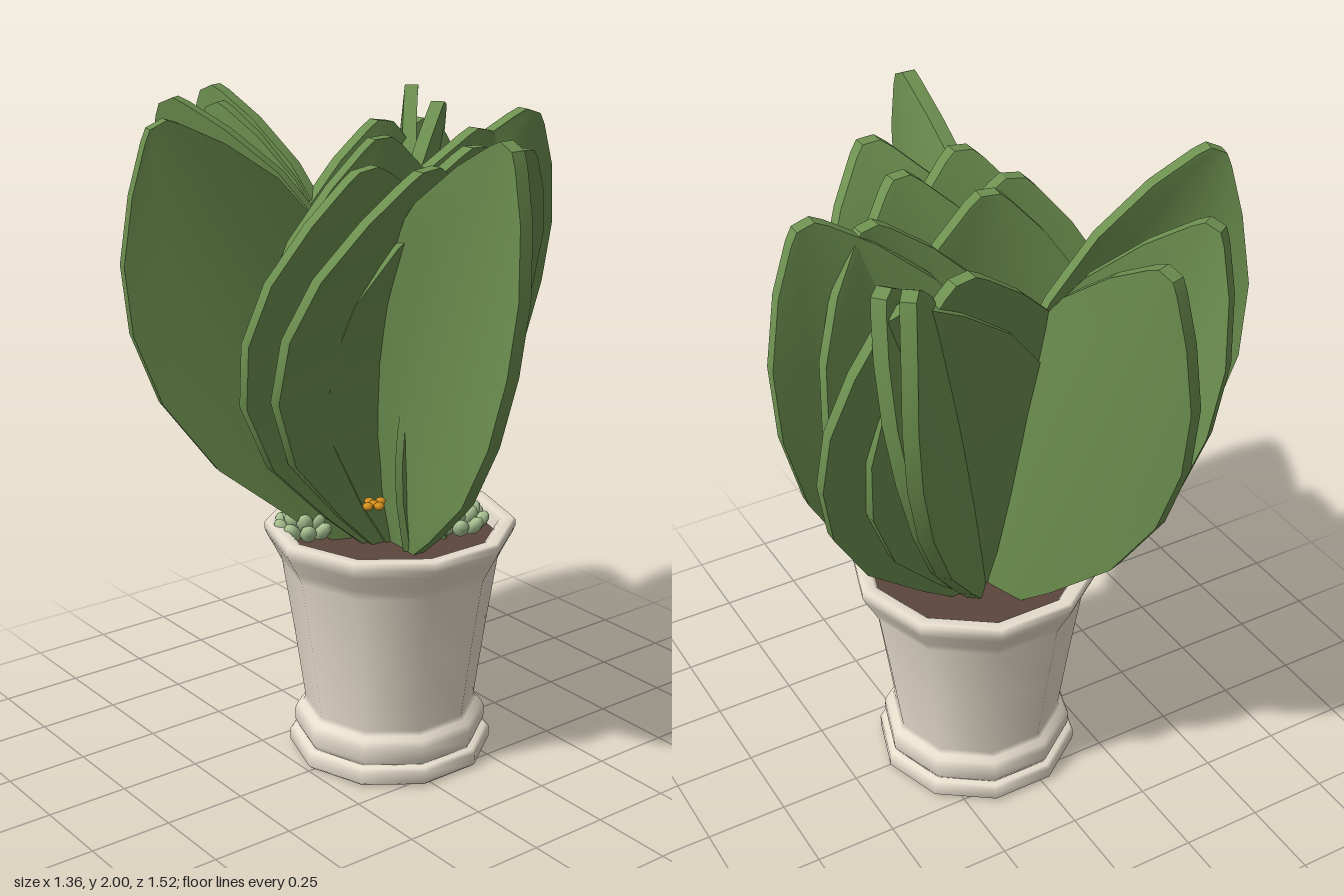
import * as THREE from 'three';

const mat = (name, color) => {
  const m = new THREE.MeshStandardMaterial({ color });
  m.name = name;
  return m;
};

// relative half width of a leaf along its length: [t, width]
const OUTLINE = [[0, 0.15], [0.12, 0.46], [0.3, 0.85], [0.48, 1], [0.64, 0.95],
  [0.78, 0.76], [0.9, 0.45], [0.98, 0.17], [1, 0.08]];
const COLS = [-1, -0.5, 0, 0.5, 1];

// Thick cupped leaf: u is the horizontal direction of its width, it bows along the normal n
function leafGeometry({ base, tip, u, hw, cup = 0.06, pow = 1.7, thick = 0.042 }) {
  const U = new THREE.Vector3(u[0], 0, u[1]).normalize();
  const N = new THREE.Vector3(-U.z, 0, U.x);
  const B = new THREE.Vector3(...base);
  const d = new THREE.Vector3(...tip).sub(B);
  const du = d.dot(U), dn = d.dot(N), len = Math.hypot(du, d.y);
  const bow = -Math.sign(dn) * cup;
  const point = (row, s, side) => {
    const [t, r] = OUTLINE[row];
    const w = s * r * hw;
    return B.clone()
      .addScaledVector(U, du * t + w * d.y / len)
      .addScaledVector(N, dn * t ** pow + bow * (s * r) ** 2 + side * thick / 2)
      .setY(B.y + d.y * t - w * du / len);
  };
  const pos = [], idx = [];
  const sheet = (lines) => {
    const start = pos.length / 3, n = lines[0].length;
    lines.forEach((l) => l.forEach((p) => pos.push(p.x, p.y, p.z)));
    for (let i = 0; i < lines.length - 1; i++) for (let j = 0; j < n - 1; j++) {
      const a = start + i * n + j, b = a + 1, c = a + n, e = c + 1;
      idx.push(a, b, e, a, e, c);
    }
  };
  const rows = OUTLINE.map((_, i) => i);
  const last = rows.length - 1;
  sheet(rows.map((i) => COLS.map((s) => point(i, s, 1))));
  sheet(rows.map((i) => [...COLS].reverse().map((s) => point(i, s, -1))));
  // rim: right edge, left edge, blunt tip
  sheet(rows.map((i) => [point(i, 1, 1), point(i, 1, -1)]));
  sheet(rows.map((i) => [point(i, -1, -1), point(i, -1, 1)]));
  sheet([COLS.map((s) => point(last, s, 1)), COLS.map((s) => point(last, s, -1))]);
  const g = new THREE.BufferGeometry();
  g.setAttribute('position', new THREE.Float32BufferAttribute(pos, 3));
  g.setIndex(idx);
  g.computeVertexNormals();
  return g;
}

export function createModel() {
  const root = new THREE.Group();
  root.name = 'pottedPlant';
  const leafMat = mat('leaf green', 0x6d9050);
  const potMat = mat('cream clay', 0xe8dfce);
  const soilMat = mat('brown soil', 0x5c463c);
  const paleMat = mat('pale green', 0xa6c090);
  const goldMat = mat('golden orange', 0xd8921e);
  const add = (parent, name, geo, material, x = 0, y = 0, z = 0) => {
    const m = new THREE.Mesh(geo, material);
    m.name = name;
    m.position.set(x, y, z);
    parent.add(m);
    return m;
  };

  // ten-sided pot with foot, bead and flared lip
  const profile = [[0, 0], [0.3, 0], [0.302, 0.001], [0.312, 0.01], [0.312, 0.045], [0.302, 0.055],
    [0.285, 0.057], [0.284, 0.06], [0.294, 0.075], [0.296, 0.115], [0.287, 0.135], [0.27, 0.146],
    [0.262, 0.16], [0.295, 0.4], [0.328, 0.615], [0.345, 0.65], [0.372, 0.7], [0.38, 0.72],
    [0.38, 0.738], [0.373, 0.747], [0.34, 0.747], [0.328, 0.738], [0.318, 0.67]]
    .map(([r, y]) => new THREE.Vector2(r, y));
  add(root, 'pot', new THREE.LatheGeometry(profile, 10, Math.PI / 2), potMat, 0.07, 0, -0.01);
  const soil = add(root, 'soil', new THREE.CircleGeometry(0.325, 10), soilMat, 0.07, 0.7, -0.01);
  soil.rotation.x = -Math.PI / 2;

  const leaves = new THREE.Group();
  leaves.name = 'leaves';
  root.add(leaves);

  // fan of leaves arching to the front: tip, width direction (x, z), half width, cup
  [
    [[0.14, 1.92, 0.46], [1, 0], 0.345, 0.03],
    [[-0.1, 1.88, 0.36], [1, 0.02], 0.37, 0.03],
    [[0.15, 1.9, 0.26], [1, -0.03], 0.33, 0.05],
    [[-0.16, 1.86, 0.17], [1, 0.08], 0.39, 0.04],
    [[0, 1.91, 0.03], [1, 0.12], 0.35, 0.07],
  ].forEach(([tip, u, hw, cup]) => {
    const base = [0.06 + tip[0] * 0.1, 0.68, -0.02 + tip[2] * 0.1];
    add(leaves, 'frontLeaf', leafGeometry({ base, tip, u, hw, cup, pow: 2.1 }), leafMat);
  });

  // leaves to the sides and back: the same, then bend power
  [
    // right and left sides
    [[0.36, 1.9, 0.04], [1, -0.02], 0.33, 0.1],
    [[0.53, 1.94, 0.06], [1, 0.06], 0.33, 0.1],
    [[-0.6, 1.98, -0.17], [-0.97, -0.24], 0.33, 0.09],
    // edge-on leaf at the front
    [[-0.1, 1.985, 0.69], [0, 1], 0.3, -0.06, 0.7],
    // back leaves
    [[0.5, 1.92, -0.32], [0.76, -0.65], 0.25, 0.03],
    [[0.48, 1.96, -0.43], [0.62, -0.78], 0.25, -0.04],
    [[0.47, 1.87, -0.34], [1, 0.02], 0.36, -0.01, 1],
    [[0.27, 1.89, -0.31], [1, -0.02], 0.36, -0.04, 0.8],
    [[-0.34, 1.98, -0.53], [-0.55, -0.83], 0.29, 0.05],
    [[-0.1, 1.98, -0.68], [-0.32, -0.95], 0.3, 0.025],
    [[-0.13, 1.94, -0.61], [-0.42, -0.9], 0.27, 0.02],
  ].forEach(([tip, u, hw, cup, pow]) => {
    const base = [0.06 + tip[0] * 0.1, 0.68, -0.03 + tip[2] * 0.16];
    add(leaves, 'leaf', leafGeometry({ base, tip, u, hw, cup, pow }), leafMat);
  });

  // young shoots at the front
  [
    [[0.03, 0.68, 0.13], [0.01, 1.34, 0.19], 0.07],
    [[0.09, 0.68, 0.12], [0.13, 1.38, 0.195], 0.07],
    [[0.17, 0.68, 0.12], [0.22, 1.07, 0.14], 0.035],
  ].forEach(([base, tip, hw]) => add(leaves, 'shoot',
    leafGeometry({ base, tip, u: [0.82, -0.57], hw, cup: 0.015, thick: 0.022 }), leafMat));

  // pale rosettes on the soil: domes of overlapping plump leaves
  const petal = new THREE.SphereGeometry(1, 8, 6);
  [[0.24, 0.715, 0.1], [-0.15, 0.715, -0.14]].forEach(([x, y, z]) => {
    const rosette = new THREE.Group();
    rosette.name = 'rosette';
    rosette.position.set(x, y, z);
    root.add(rosette);
    [[9, 0.07, 0.02], [7, 0.048, 0.045], [4, 0.02, 0.062]].forEach(([n, r, h], ring) => {
      for (let i = 0; i < n; i++) {
        const a = (i + ring * 0.5) / n * Math.PI * 2;
        const p = add(rosette, 'rosetteLeaf', petal, paleMat, Math.cos(a) * r, h, Math.sin(a) * r);
        p.scale.set(0.022, 0.036, 0.026);
        p.rotation.set(0, -a, -0.7 + ring * 0.25);
      }
    });
  });

  // small golden blossoms, each four petals round a heart
  const bead = new THREE.SphereGeometry(1, 7, 5);
  [[0.045, 0.985, 0.18], [0.13, 0.985, 0.17], [0.055, 0.938, 0.2], [-0.13, 0.893, 0.17],
    [-0.07, 0.765, -0.15], [0.13, 0.765, 0.16]].forEach(([x, y, z]) => {
    const blossom = new THREE.Group();
    blossom.name = 'blossom';
    blossom.position.set(x, y, z);
    root.add(blossom);
    [[0, 0], [1, 0], [-1, 0], [0, 1], [0, -1]].forEach(([i, k]) => {
      add(blossom, 'petal', bead, goldMat, i * 0.023, i * 0.003, k * 0.023).scale.set(0.016, 0.012, 0.016);
    });
  });

  return root;
}
